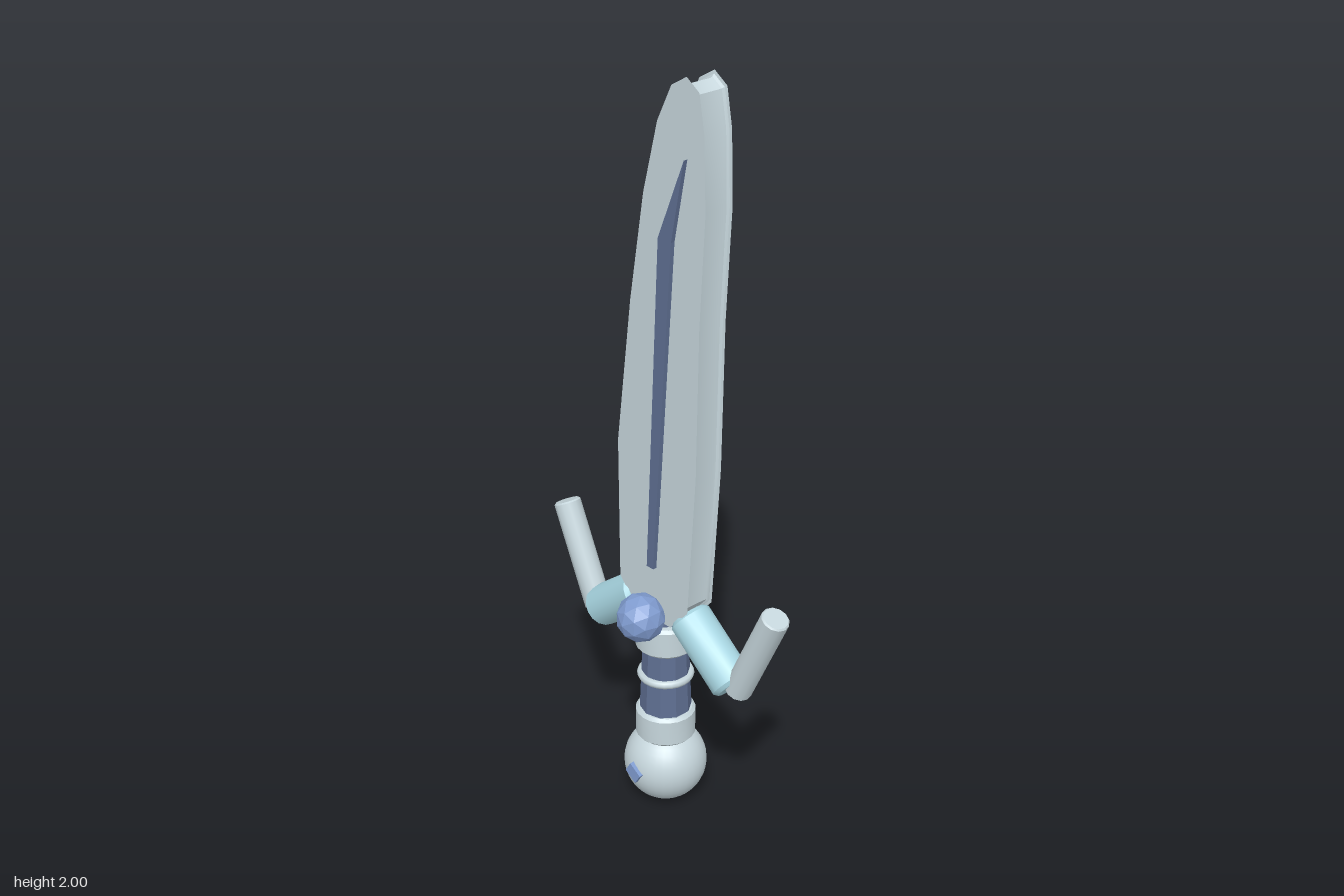
import * as THREE from 'three';
import { toCreasedNormals } from 'three/addons/utils/BufferGeometryUtils.js';

const AXIS_Z = -0.019; // depth of the handle and guard centre line

const mat = (color, flatShading = false) => new THREE.MeshStandardMaterial({ color, flatShading });
const steel = mat(0xc6d6dc);
const paleBlue = mat(0xaad8e4);
const slate = mat(0x5f6f92, true);
const gemBlue = mat(0x809cd0, true);

function part(parent, name, geometry, material, x = 0, y = 0, z = 0) {
  const mesh = new THREE.Mesh(geometry, material);
  mesh.name = name;
  mesh.position.set(x, y, z);
  parent.add(mesh);
  return mesh;
}

// Closed, chamfered round bar along y, centred on the origin
function bar(radius, length, chamfer, sides) {
  const h = length / 2;
  const profile = [
    [0, -h], [radius - chamfer, -h], [radius, -h + chamfer],
    [radius, h - chamfer], [radius - chamfer, h], [0, h],
  ].map(([r, y]) => new THREE.Vector2(r, y));
  return toCreasedNormals(new THREE.LatheGeometry(profile, sides), 0.6);
}

// Bar running between two points of the guard plane
function barBetween(parent, name, a, b, radius, chamfer, sides, material) {
  const from = new THREE.Vector3(a[0], a[1], AXIS_Z);
  const to = new THREE.Vector3(b[0], b[1], AXIS_Z);
  const dir = to.clone().sub(from);
  const mesh = part(parent, name, bar(radius, dir.length(), chamfer, sides), material);
  mesh.position.copy(from).lerp(to, 0.5);
  mesh.quaternion.setFromUnitVectors(new THREE.Vector3(0, 1, 0), dir.normalize());
}

const outline = (points) => new THREE.Shape(points.map(([x, y]) => new THREE.Vector2(x, y)));

export function createModel() {
  const sword = new THREE.Group();
  sword.name = 'sword';

  // Blade: leaning leaf outline whose rim is hollowed between the two faces
  const bladeShape = outline([
    [-0.065, 0.57], [0.065, 0.57], [0.127, 0.64], [0.153, 1.03], [0.16, 1.42],
    [0.176, 1.7], [0.17, 1.88], [0.153, 1.973], [0.112, 2.0], [0.063, 1.972],
    [0.016, 1.88], [-0.032, 1.7], [-0.08, 1.42], [-0.13, 1.03], [-0.127, 0.64],
  ]);
  const blade = new THREE.ExtrudeGeometry(bladeShape, {
    depth: 0.057, bevelEnabled: true, bevelThickness: 0.013, bevelSize: -0.014, bevelSegments: 3,
  });
  part(sword, 'blade', toCreasedNormals(blade, 0.5), steel, 0, 0, -0.046);

  // Dark inlay on the front face of the blade
  const inlayShape = outline([[-0.012, 0.722], [0.012, 0.722], [0.075, 1.61], [0.116, 1.815], [0.03, 1.61]]);
  part(sword, 'bladeInlay', new THREE.ExtrudeGeometry(inlayShape, { depth: 0.03, bevelEnabled: false }),
    slate, 0, 0, 0.005);

  // Guard: a sloping arm and an upswept prong on each side
  for (const [label, s] of [['left', 1], ['right', -1]]) {
    const side = new THREE.Group();
    side.name = `${label}Guard`;
    barBetween(side, `${label}GuardArm`, [s * 0.085, 0.6], [s * 0.254, 0.47], 0.056, 0.01, 16, paleBlue);
    barBetween(side, `${label}GuardProng`, [s * 0.268, 0.465], [s * 0.392, 0.734], 0.036, 0.004, 12, steel);
    sword.add(side);
  }

  // Gem set at the front of the guard
  part(sword, 'guardGem', new THREE.IcosahedronGeometry(0.064, 1), gemBlue, 0, 0.588, 0.066);

  // Grip with its collars and middle ring
  part(sword, 'grip', new THREE.CylinderGeometry(0.055, 0.07, 0.37, 10), slate, 0, 0.425, AXIS_Z);
  part(sword, 'upperCollar', bar(0.079, 0.085, 0.008, 20), steel, 0, 0.514, AXIS_Z);
  part(sword, 'lowerCollar', bar(0.079, 0.085, 0.008, 20), steel, 0, 0.241, AXIS_Z);
  const ring = part(sword, 'gripRing', new THREE.TorusGeometry(0.064, 0.011, 8, 24), steel, 0, 0.386, AXIS_Z);
  ring.rotation.x = Math.PI / 2;

  // Round pommel with a small stud on its front
  part(sword, 'pommel', new THREE.SphereGeometry(0.11, 32, 20), steel, 0, 0.111, AXIS_Z);
  const stud = part(sword, 'pommelStud', new THREE.BoxGeometry(0.044, 0.036, 0.05), gemBlue, 0, 0.116, 0.073);
  stud.rotation.z = -0.55;

  return sword;
}
